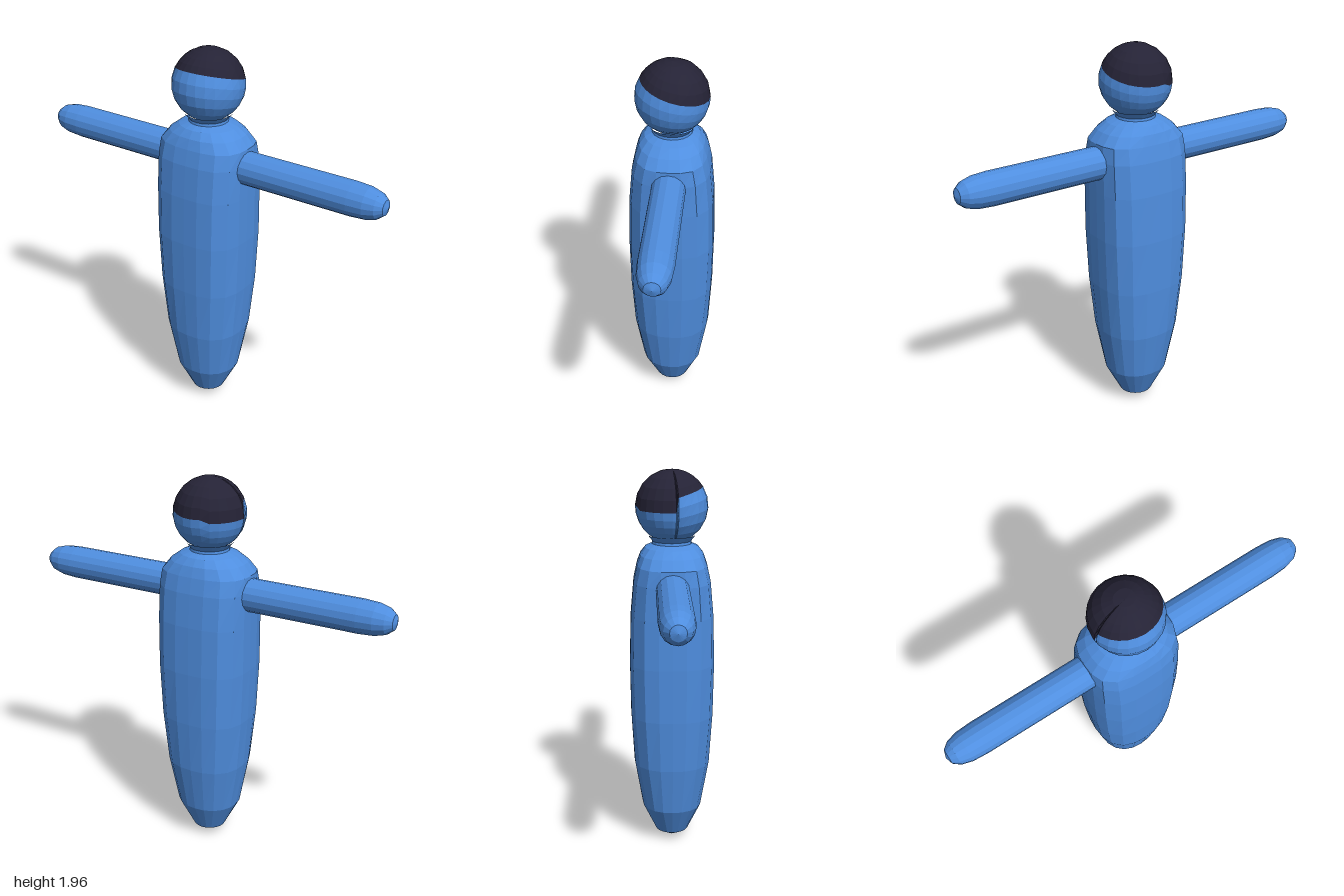
import * as THREE from 'three';

const blue = new THREE.MeshStandardMaterial({ color: 0x4f8edf, flatShading: true });
blue.name = 'blue';
const dark = new THREE.MeshStandardMaterial({ color: 0x252336, flatShading: true });
dark.name = 'dark hair';

// Skin a grid of rings, listed bottom to top, each running from +z towards +x
function skin(rings) {
  const n = rings[0].length;
  const index = [];
  for (let i = 0; i < rings.length - 1; i++) {
    for (let j = 0; j < n; j++) {
      const k = (j + 1) % n;
      const a = i * n + j, b = i * n + k, c = a + n, d = b + n;
      index.push(a, b, d, a, d, c);
    }
  }
  const geometry = new THREE.BufferGeometry();
  geometry.setAttribute('position', new THREE.Float32BufferAttribute(rings.flat(2), 3));
  geometry.setIndex(index);
  geometry.computeVertexNormals();
  return geometry;
}

function addMesh(group, name, geometry, material) {
  const mesh = new THREE.Mesh(geometry, material);
  mesh.name = name;
  group.add(mesh);
  return mesh;
}

// Superellipse ring: half width, half depth and squareness at one height
function bodyRing([y, w, d, power]) {
  const ring = [];
  for (let j = 0; j < 20; j++) {
    const t = (j / 20) * Math.PI * 2;
    const s = Math.sin(t), c = Math.cos(t);
    const r = Math.pow(Math.abs(s) ** power + Math.abs(c) ** power, -1 / power);
    ring.push([w * r * s, y, d * r * c]);
  }
  return ring;
}

const HEAD_Y = 1.787, HEAD_R = 0.182;

// Polar angle of the hairline: a slanted fringe with a lower patch at the back
function hairline(t) {
  const back = t > 2 && t < 3.27;
  let phi = 1.4;
  for (let i = 0; i < 12; i++) {
    const y = back ? 1.777 : 1.842 - 0.27 * HEAD_R * Math.sin(phi) * Math.sin(t);
    phi = Math.acos((y - HEAD_Y) / HEAD_R);
  }
  return phi;
}

// Part of the head sphere between two polar angles given per column
function headPart(columns, from, to, rows) {
  const rings = [];
  for (let i = 0; i <= rows; i++) {
    rings.push(columns.map((t) => {
      const phi = THREE.MathUtils.lerp(from(t), to(t), i / rows);
      const r = HEAD_R * Math.sin(phi);
      return [r * Math.sin(t), HEAD_Y + HEAD_R * Math.cos(phi), r * Math.cos(t)];
    }));
  }
  return skin(rings);
}

export function createModel() {
  const model = new THREE.Group();
  model.name = 'figure';

  // Tapered body closing into a short neck: y, half width, half depth, squareness
  const body = [
    [0.005, 0.001, 0.001, 2],
    [0.05, 0.085, 0.085, 2],
    [0.2, 0.155, 0.163, 2.2],
    [0.45, 0.197, 0.206, 2.5],
    [0.72, 0.212, 0.227, 2.9],
    [1.0, 0.216, 0.236, 3.2],
    [1.25, 0.209, 0.237, 3.3],
    [1.42, 0.194, 0.237, 3.2],
    [1.5, 0.177, 0.233, 2.9],
    [1.55, 0.16, 0.195, 2.5],
    [1.585, 0.135, 0.15, 2.1],
    [1.602, 0.1, 0.1, 2],
    [1.615, 0.098, 0.098, 2],
    [1.645, 0.122, 0.122, 2],
  ];
  addMesh(model, 'body', skin(body.map(bodyRing)), blue);

  // Head split along the hairline, with extra columns at its step
  const columns = Array.from({ length: 24 }, (_, j) => (j / 24) * Math.PI * 2);
  columns.push(3.24, 3.31);
  columns.sort((a, b) => a - b);
  addMesh(model, 'face', headPart(columns, () => Math.PI, hairline, 7), blue);
  addMesh(model, 'hair', headPart(columns, hairline, () => 0, 5), dark);

  // Straight arms with rounded ends, to the front and to the back
  const profile = [[0.084, 0.1], [0.084, 0.82], [0.079, 0.9], [0.064, 0.955], [0.038, 0.988], [0, 1]]
    .map(([r, l]) => new THREE.Vector2(r, l));
  for (const side of [1, -1]) {
    const arm = addMesh(model, side > 0 ? 'frontArm' : 'backArm', new THREE.LatheGeometry(profile, 16), blue);
    arm.rotation.x = side * Math.PI / 2;
    arm.position.y = 1.402;
  }
  return model;
}
